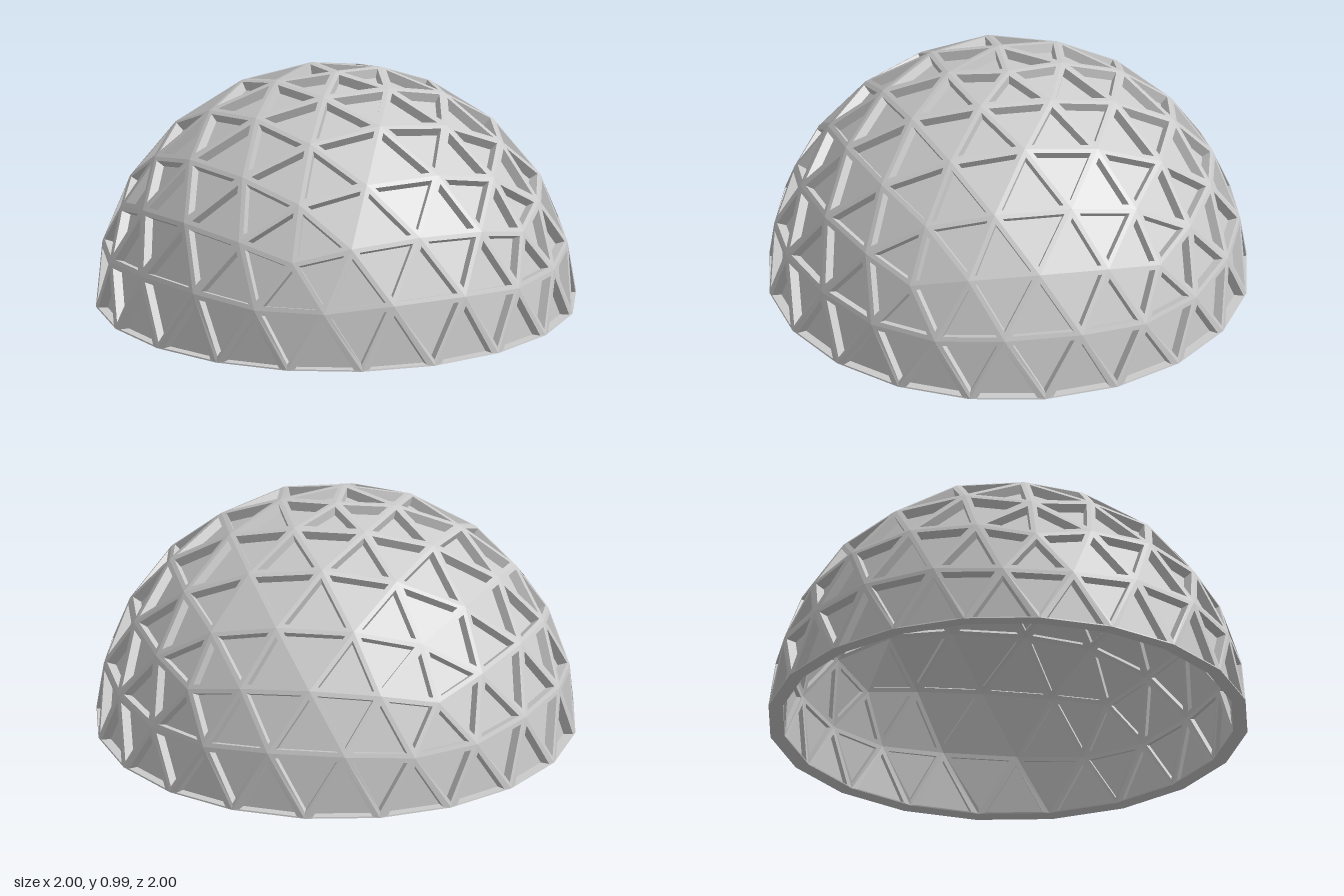
import * as THREE from 'three';

const FREQ = 4;       // subdivisions of each icosahedron edge
const CUT = 0.013;    // the base is trimmed slightly above the equator
const HALF = 0.019;   // half the strut width
const PANEL = 0.96;   // radius factor of the panels
const INNER = 0.94;   // radius factor of the struts' inner faces

// Top part of an icosahedron with one corner up: crown and belt triangles
function icosaFaces() {
  const ring = (y, a) => {
    const r = 2 / Math.sqrt(5);
    return new THREE.Vector3(r * Math.sin(a), y, r * Math.cos(a));
  };
  const step = Math.PI * 2 / 5, h = 1 / Math.sqrt(5);
  const top = new THREE.Vector3(0, 1, 0);
  const faces = [];
  for (let i = 0; i < 5; i++) {
    const u0 = ring(h, i * step), u1 = ring(h, (i + 1) * step);
    const l0 = ring(-h, (i + 0.5) * step), l1 = ring(-h, (i + 1.5) * step);
    faces.push([top, u0, u1], [u0, l0, u1], [u1, l0, l1]);
  }
  return faces;
}

// Geodesic triangles of the upper hemisphere
function domeTriangles() {
  const out = [];
  for (const [a, b, c] of icosaFaces()) {
    const at = (i, j) => new THREE.Vector3()
      .addScaledVector(a, 1 - (i + j) / FREQ)
      .addScaledVector(b, i / FREQ)
      .addScaledVector(c, j / FREQ).normalize();
    const keep = (...t) => { if (t[0].y + t[1].y + t[2].y > 0.01) out.push(t); };
    for (let i = 0; i < FREQ; i++) {
      for (let j = 0; j < FREQ - i; j++) {
        keep(at(i, j), at(i + 1, j), at(i, j + 1));
        if (i + j < FREQ - 1) keep(at(i + 1, j), at(i + 1, j + 1), at(i, j + 1));
      }
    }
  }
  return out;
}

// Corners of a triangle whose sides are moved inward by d
function inset(tri, d) {
  return tri.map((p, k) => {
    const u = tri[(k + 1) % 3].clone().sub(p).normalize();
    const v = tri[(k + 2) % 3].clone().sub(p).normalize();
    const sin = u.clone().cross(v).length();
    return p.clone().addScaledVector(u.add(v), d / sin);
  });
}

function flatMesh(name, points) {
  const g = new THREE.BufferGeometry().setFromPoints(points);
  g.translate(0, -CUT, 0);
  g.computeVertexNormals();
  const mesh = new THREE.Mesh(g, new THREE.MeshStandardMaterial({
    color: 0xcccccc, flatShading: true, side: THREE.DoubleSide,
  }));
  mesh.name = name;
  return mesh;
}

export function createModel() {
  const struts = [], panels = [];
  const quad = (a, b, c, d) => struts.push(a, b, c, a, c, d);
  const scaled = (pts, s) => pts.map(p => p.clone().multiplyScalar(s));
  const trim = pts => pts.map(p => p.clone().setY(Math.max(p.y, CUT)));

  for (const tri of domeTriangles()) {
    const hole = inset(tri, HALF);
    const outer = trim(tri), outerHole = trim(hole);
    const inner = trim(scaled(tri, INNER)), innerHole = trim(scaled(hole, INNER));

    for (let k = 0; k < 3; k++) {
      const n = (k + 1) % 3;
      // outer face, opening wall and inner face of each half strut
      quad(outer[k], outer[n], outerHole[n], outerHole[k]);
      quad(outerHole[k], outerHole[n], innerHole[n], innerHole[k]);
      quad(innerHole[k], innerHole[n], inner[n], inner[k]);
      // flat underside of the base ring
      if (tri[k].y < 0.01 && tri[n].y < 0.01) quad(inner[k], inner[n], outer[n], outer[k]);
    }
    // recessed triangular panel
    panels.push(...trim(scaled(hole, PANEL)));
  }

  const group = new THREE.Group();
  group.name = 'geodesicDome';
  group.add(flatMesh('strutFrame', struts), flatMesh('panels', panels));
  return group;
}
